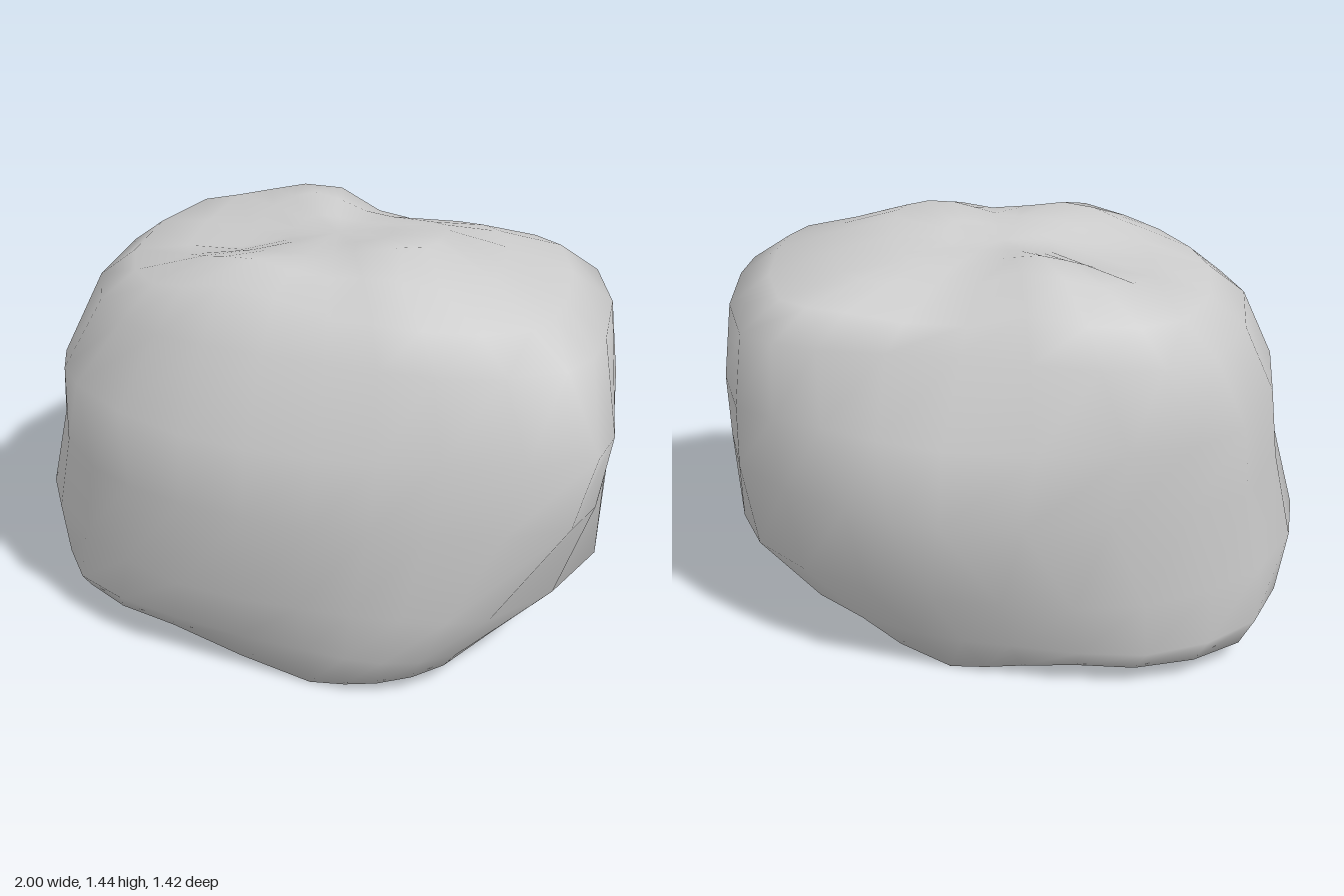
import * as THREE from 'three';

// Cross-sections by height; each runs [x, z] from +x round through +z
const SECTIONS = [
  { y: 0.08, outline: [[0.59, 0.12], [0.54, 0.44], [0.35, 0.57], [0.12, 0.59], [-0.4, 0.55], [-0.78, 0.43],
    [-0.88, 0.1], [-0.86, -0.27], [-0.53, -0.48], [-0.15, -0.48], [0.1, -0.46], [0.45, -0.3]] },
  { y: 0.16, outline: [[0.7, 0.08], [0.59, 0.48], [0.38, 0.61], [0.12, 0.63], [-0.36, 0.61], [-0.77, 0.5],
    [-0.95, 0.2], [-0.91, -0.25], [-0.57, -0.52], [-0.12, -0.54], [0.2, -0.52], [0.58, -0.34]] },
  { y: 0.36, outline: [[0.93, 0.02], [0.71, 0.53], [0.45, 0.63], [0.12, 0.68], [-0.3, 0.69], [-0.73, 0.52],
    [-1, 0.24], [-0.92, -0.22], [-0.56, -0.54], [-0.1, -0.61], [0.35, -0.59], [0.78, -0.36]] },
  { y: 0.68, outline: [[0.95, 0.06], [0.93, 0.41], [0.52, 0.61], [0.17, 0.7], [-0.28, 0.7], [-0.65, 0.59],
    [-0.91, 0.28], [-0.86, -0.32], [-0.45, -0.59], [0.08, -0.71], [0.4, -0.64], [0.82, -0.4]] },
  { y: 0.92, outline: [[0.96, 0.03], [0.99, 0.36], [0.55, 0.57], [0.17, 0.67], [-0.28, 0.68], [-0.74, 0.49],
    [-0.89, 0.28], [-0.84, -0.33], [-0.5, -0.57], [0.08, -0.65], [0.49, -0.55], [0.8, -0.45]] },
  { y: 1.18, outline: [[0.92, 0.05], [0.87, 0.33], [0.5, 0.5], [0.15, 0.53], [-0.25, 0.55], [-0.56, 0.49],
    [-0.79, 0.18], [-0.74, -0.39], [-0.4, -0.53], [0.05, -0.5], [0.5, -0.53], [0.77, -0.45]] },
];

// The crown shrinks the top section inwards: height, scale
const CROWN = [[1.28, 0.85], [1.34, 0.62], [1.37, 0.4], [1.38, 0.2]];

// Bumps and hollows on the crown: x, z, height, radius
const BUMPS = [
  [0.25, 0.23, 0.06, 0.18],
  [0.4, 0.02, 0.05, 0.18],
  [-0.16, -0.3, 0.07, 0.16],
  [-0.4, -0.2, 0.03, 0.15],
  [-0.15, 0.44, 0.08, 0.18],
  [-0.36, 0.38, 0.03, 0.14],
  [-0.36, 0.02, -0.07, 0.2],
  [0.12, -0.45, -0.05, 0.15],
];

const SIDES = 24;

// Raises the crown bumps and lowers a shallow keel under the base
function shapeHeight(x, y, z) {
  if (y < 0.1) return y - 0.08 * Math.max(0, 1 - Math.abs(x - 0.1) / 0.45);
  if (y < 1.25) return y;
  return BUMPS.reduce((h, [bx, bz, a, r]) =>
    h + a * Math.exp(-((x - bx) ** 2 + (z - bz) ** 2) / (r * r)), y);
}

// Rounds an outline into a ring of evenly stepped points
function roundedRing(outline) {
  const curve = new THREE.CatmullRomCurve3(outline.map(([x, z]) => new THREE.Vector3(x, 0, z)), true);
  return Array.from({ length: SIDES }, (_, j) => curve.getPoint(j / SIDES));
}

function boulderGeometry() {
  const pos = [], index = [];
  const add = (x, y, z) => pos.push(x, shapeHeight(x, y, z), z);
  const body = SECTIONS.map(({ y, outline }) => ({ y, scale: 1, ring: roundedRing(outline) }));
  const top = body[body.length - 1].ring;
  const layers = [
    { y: 0.08, scale: 0.5, ring: body[0].ring },
    ...body,
    ...CROWN.map(([y, scale]) => ({ y, scale, ring: top })),
  ];

  for (const { y, scale, ring } of layers) {
    for (const p of ring) add(p.x * scale, y, p.z * scale);
  }
  for (let i = 0; i < layers.length - 1; i++) {
    for (let j = 0; j < SIDES; j++) {
      const a = i * SIDES + j, b = i * SIDES + (j + 1) % SIDES;
      index.push(a, a + SIDES, b, b, a + SIDES, b + SIDES);
    }
  }

  // Close the base and the crown
  const base = layers.length * SIDES, crown = base + 1, last = base - SIDES;
  add(0, 0.08, 0);
  add(0, 1.38, 0);
  for (let j = 0; j < SIDES; j++) {
    const k = (j + 1) % SIDES;
    index.push(base, j, k, crown, last + k, last + j);
  }

  const geometry = new THREE.BufferGeometry();
  geometry.setAttribute('position', new THREE.Float32BufferAttribute(pos, 3));
  geometry.setIndex(index);
  geometry.computeVertexNormals();
  return geometry;
}

export function createModel() {
  const group = new THREE.Group();
  group.name = 'rock';
  const boulder = new THREE.Mesh(boulderGeometry(), new THREE.MeshStandardMaterial({ color: 0xcccccc }));
  boulder.name = 'boulder';
  group.add(boulder);
  return group;
}
